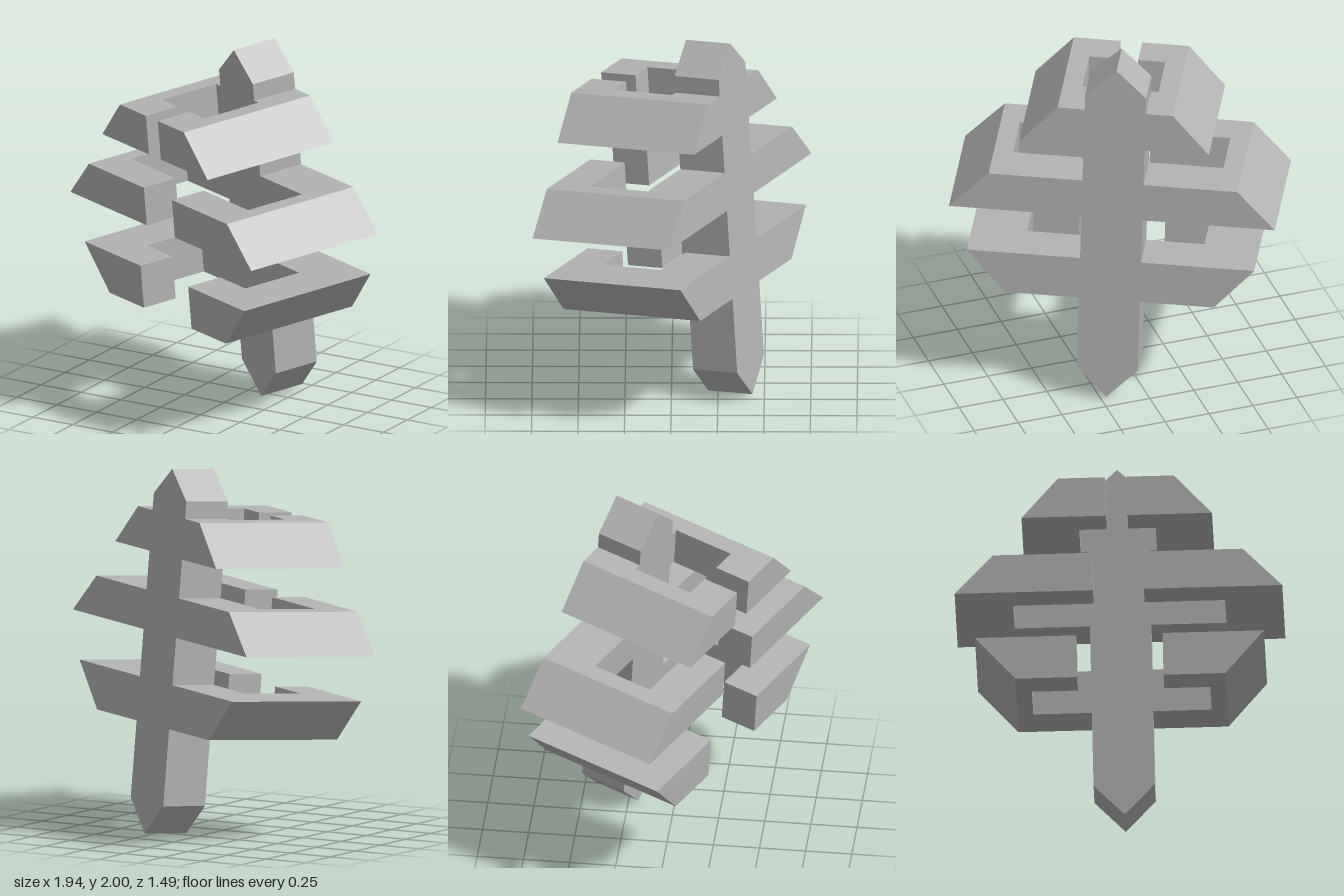
import * as THREE from 'three';

const BACK = -0.492, SPINE_FRONT = -0.227, BAR_BACK = 0.12, FRONT = 0.326;

// Open ring seen in plan, raised to a block; its outer sides lean from bottomHalf to topHalf.
function ribGeometry({ y0, y1, bottomHalf, topHalf, inner, gap }) {
  const half = [
    [bottomHalf, BACK], [bottomHalf, FRONT], [gap, FRONT],
    [gap, BAR_BACK], [inner, BAR_BACK], [inner, SPINE_FRONT],
  ];
  const mirrored = half.map(([x, z]) => [-x, z]).reverse();
  const plan = new THREE.Shape([...half, ...mirrored].map(([x, z]) => new THREE.Vector2(x, -z)));
  const geometry = new THREE.ExtrudeGeometry(plan, { depth: y1 - y0, bevelEnabled: false });
  geometry.rotateX(-Math.PI / 2).translate(0, y0, 0);
  const p = geometry.attributes.position;
  for (let i = 0; i < p.count; i++) {
    const x = p.getX(i);
    if (p.getY(i) > (y0 + y1) / 2 && Math.abs(x) > bottomHalf - 1e-4) {
      p.setX(i, Math.sign(x) * topHalf);
    }
  }
  geometry.computeVertexNormals();
  return geometry;
}

// Upright post with a pointed top and bottom.
function spineGeometry() {
  const w = 0.165;
  const outline = new THREE.Shape([
    [0, -0.013], [w, 0.158], [w, 1.815], [0, 1.969], [-w, 1.815], [-w, 0.158],
  ].map(([x, y]) => new THREE.Vector2(x, y)));
  return new THREE.ExtrudeGeometry(outline, { depth: SPINE_FRONT - BACK, bevelEnabled: false })
    .translate(0, 0, BACK);
}

export function createModel() {
  const grey = new THREE.MeshStandardMaterial({ color: 0xb4b4b4 });
  grey.name = 'plain grey';
  const cage = new THREE.Group();
  cage.name = 'ribCage';

  const add = (name, geometry) => {
    const mesh = new THREE.Mesh(geometry, grey);
    mesh.name = name;
    mesh.position.x = 0.018;
    cage.add(mesh);
  };

  add('spine', spineGeometry());
  add('upperRib', ribGeometry({ y0: 1.5, y1: 1.721, bottomHalf: 0.513, topHalf: 0.312, inner: 0.206, gap: 0.058 }));
  add('middleRib', ribGeometry({ y0: 1.074, y1: 1.289, bottomHalf: 0.882, topHalf: 0.673, inner: 0.57, gap: 0.137 }));
  add('lowerRib', ribGeometry({ y0: 0.577, y1: 0.817, bottomHalf: 0.566, topHalf: 0.778, inner: 0.48, gap: 0.232 }));

  // The whole cage is turned and tilted slightly.
  const side = new THREE.Vector3(0.903, 0.0196, 0.429).normalize();
  const up = new THREE.Vector3(-0.0505, 0.997, 0.0606).normalize();
  const front = new THREE.Vector3().crossVectors(side, up).normalize();
  up.crossVectors(front, side);
  cage.quaternion.setFromRotationMatrix(new THREE.Matrix4().makeBasis(side, up, front));

  const model = new THREE.Group();
  model.name = 'model';
  model.add(cage);
  return model;
}
